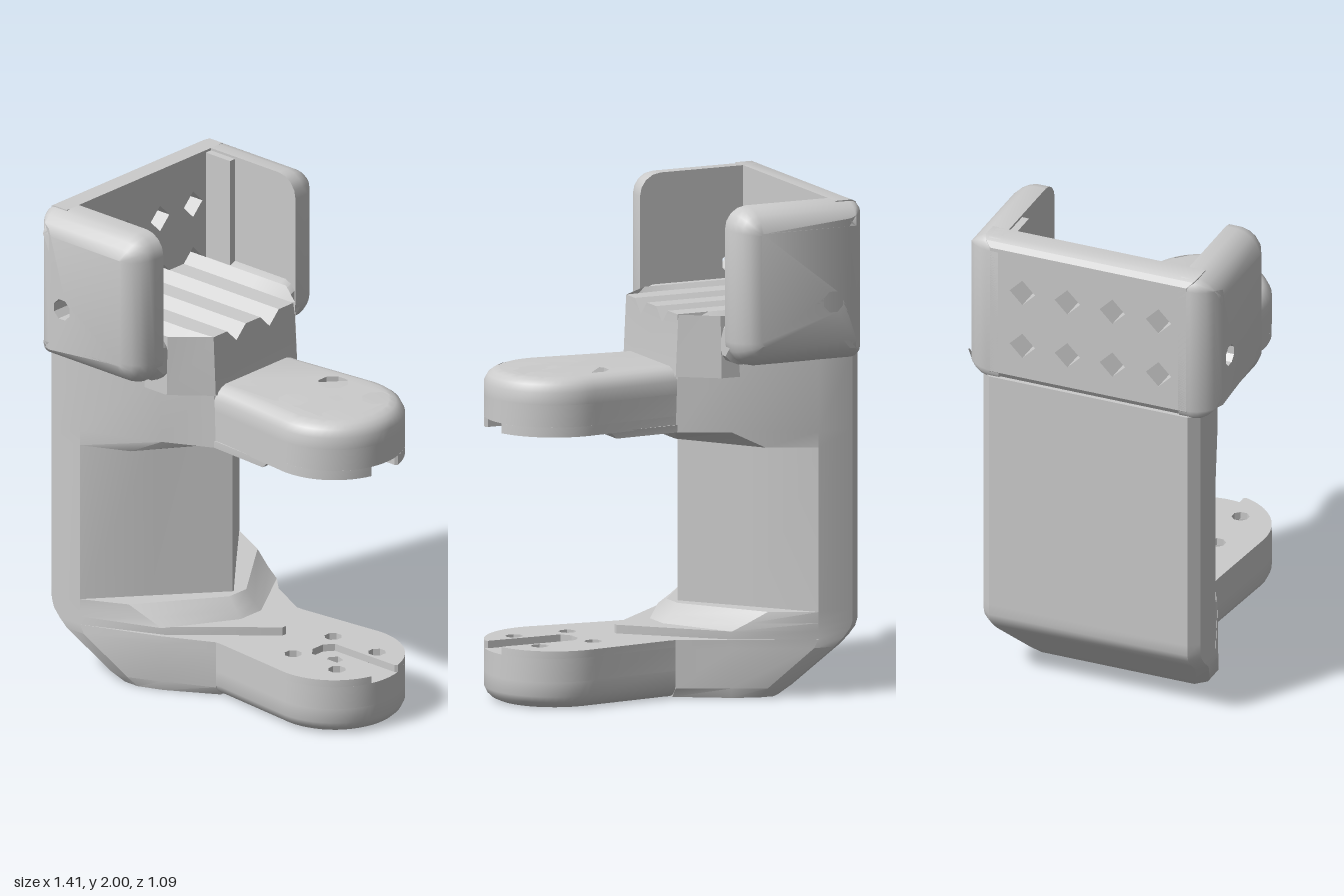
import * as THREE from 'three';
import { toCreasedNormals } from 'three/addons/utils/BufferGeometryUtils.js';

// Mirror half an outline (v > 0, front to back) into a closed loop
const sym = half => [...half, ...half.slice().reverse().map(([u, v]) => [u, -v])];

// Move every corner of a counter-clockwise outline inwards by d
function inset(pts, d) {
  const n = pts.length;
  const normal = (a, b) => {
    const l = Math.hypot(b[0] - a[0], b[1] - a[1]);
    return [-(b[1] - a[1]) / l, (b[0] - a[0]) / l];
  };
  return pts.map((p, i) => {
    const a = normal(pts[(i + n - 1) % n], p), b = normal(p, pts[(i + 1) % n]);
    const k = d / (1 + a[0] * b[0] + a[1] * b[1]);
    return [p[0] + (a[0] + b[0]) * k, p[1] + (a[1] + b[1]) * k];
  });
}

// Solid through a stack of outlines { h, pts }, with straight holes through it
function solid(rings, holes = []) {
  const pos = [];
  const wall = (a, ha, b, hb, flip) => a.forEach((p, i) => {
    const j = (i + 1) % a.length;
    const q = [[...p, ha], [...a[j], ha], [...b[j], hb], [...b[i], hb]];
    (flip ? [0, 2, 1, 0, 3, 2] : [0, 1, 2, 0, 2, 3]).forEach(k => pos.push(...q[k]));
  });
  for (let i = 1; i < rings.length; i++) wall(rings[i - 1].pts, rings[i - 1].h, rings[i].pts, rings[i].h);
  const first = rings[0], last = rings[rings.length - 1];
  holes.forEach(o => wall(o, first.h, o, last.h, true));
  const cap = ({ h, pts }, flip) => {
    const vec = l => l.map(p => new THREE.Vector2(...p));
    const inner = holes.map(o => vec(o).reverse());
    const outer = vec(pts), all = [...outer, ...inner.flat()];
    THREE.ShapeUtils.triangulateShape(outer, inner).forEach(f =>
      (flip ? [f[0], f[2], f[1]] : f).forEach(k => pos.push(all[k].x, all[k].y, h)));
  };
  cap(first, true);
  cap(last, false);
  const g = new THREE.BufferGeometry();
  g.setAttribute('position', new THREE.Float32BufferAttribute(pos, 3));
  return g;
}

// Solid of one outline with an inset per level [h, inset]
const slab = (pts, levels, holes) =>
  solid(levels.map(([h, d]) => ({ h, pts: d ? inset(pts, d) : pts })), holes);

const disc = (u, v, r, n = 8) => Array.from({ length: n }, (_, i) => {
  const a = (i + 0.5) / n * Math.PI * 2;
  return [u + r * Math.cos(a), v + r * Math.sin(a)];
});

// Round hole with a pointed end
const teardrop = (u, v, r) => [...Array.from({ length: 8 }, (_, i) => {
  const a = -Math.PI / 4 + i / 7 * Math.PI * 1.5;
  return [u + r * Math.cos(a), v + r * Math.sin(a)];
}), [u, v - r * 1.5]];

export function createModel() {
  const group = new THREE.Group();
  const material = new THREE.MeshStandardMaterial({ color: 0xcccccc });
  const add = (name, g) => {
    const mesh = new THREE.Mesh(toCreasedNormals(g, 0.5), material);
    mesh.name = name;
    group.add(mesh);
  };
  const flat = g => g.rotateX(-Math.PI / 2);   // plan outlines, stacked in y
  const along = g => g.rotateY(Math.PI / 2);   // outlines of (-z, y), stacked in x

  // Column with V-shaped front: y, back x, half width, side corner x, then two front corners
  const rows = [
    [0, -0.41, 0.37, -0.3, [-0.2, 0.33], [0, 0.21]],
    [0.04, -0.455, 0.4, -0.33, [-0.2, 0.34], [0, 0.24]],
    [0.2, -0.63, 0.47, -0.5, [-0.2, 0.34], [0, 0.24]],
    [0.235, -0.67, 0.47, -0.52, [-0.2, 0.34], [0, 0.24]],
    [0.235, -0.67, 0.47, -0.52, [-0.2, 0.32], [0.15, 0.01]],
    [0.27, -0.7, 0.47, -0.52, [-0.2, 0.32], [0.15, 0.01]],
    [0.27, -0.7, 0.47, -0.52, [-0.2, 0.34], [-0.03, 0.06]],
    [0.3, -0.71, 0.47, -0.52, [-0.26, 0.355], [-0.06, 0.055]],
    [0.345, -0.71, 0.47, -0.52, [-0.34, 0.38], [-0.1, 0.05]],
    [0.345, -0.71, 0.47, -0.52, [-0.33, 0.244], [-0.125, 0.003]],
    [1.01, -0.71, 0.47, -0.52, [-0.33, 0.244], [-0.125, 0.003]],
    [1.01, -0.71, 0.47, -0.52, [-0.33, 0.38], [-0.09, 0.05]],
    [1.075, -0.71, 0.47, -0.52, [-0.2, 0.34], [-0.02, 0.2]],
    [1.075, -0.71, 0.47, -0.52, [-0.2, 0.34], [0, 0.24]],
    [1.38, -0.71, 0.47, -0.52, [-0.21, 0.34], [-0.01, 0.24]],
  ];
  add('column', flat(solid(rows.map(([h, xb, w, xs, b, c]) => ({
    h, pts: sym([c, b, [xs, w], [xb + 0.04, w], [xb, w - 0.04]]),
  })))));

  // Arm outline, plain and with the open slot in its end
  const arc = start => Array.from({ length: 15 }, (_, i) => {
    const a = THREE.MathUtils.degToRad(start + (100 - start) * i / 14);
    return [0.42 + 0.28 * Math.cos(a), 0.28 * Math.sin(a)];
  });
  const neck = [[0.03, 0.24], [-0.1, 0.24]];
  const arm = sym([...arc(4), ...neck]);
  const slotted = sym([[0.33, 0.03], [0.36, 0.068], [0.68, 0.068], ...arc(16), ...neck]);
  const spots = [0.305, 0.54].flatMap(u => [[u, 0.118], [u, -0.118]]);
  const centre = disc(0.42, 0, 0.035, 5);
  const wide = [...spots.map(([u, v]) => disc(u, v, 0.063)), centre];
  const narrow = [...spots.map(([u, v]) => teardrop(u, v, 0.036)), centre];
  const small = spots.map(([u, v]) => disc(u, v, 0.036));

  // Upper arm
  add('upperArmSlotLayer', flat(slab(slotted, [[1.1, 0], [1.14, 0]], small)));
  add('upperArmCore', flat(slab(arm, [[1.14, 0], [1.23, 0]], narrow)));
  add('upperArmTop', flat(slab(arm, [[1.23, 0], [1.28, 0], [1.31, 0.015], [1.325, 0.035], [1.333, 0.06]], wide)));
  add('upperArmUnderside', flat(solid([
    { h: 1.075, pts: sym([[0.27, 0.26], [-0.05, 0.24]]) },
    { h: 1.105, pts: sym([[0.3, 0.265], [-0.05, 0.24]]) },
  ])));

  // Lower arm
  add('lowerArmBottom', flat(slab(arm, [[0, 0.05], [0.01, 0.028], [0.025, 0.012], [0.05, 0], [0.11, 0]], wide)));
  add('lowerArmCore', flat(slab(arm, [[0.11, 0], [0.205, 0]], narrow)));
  add('lowerArmSlotLayer', flat(slab(slotted, [[0.205, 0], [0.235, 0]], small)));

  // Ridged shelf: grooves run forward from the lower row of holes
  const holeZ = [-0.285, -0.09, 0.105, 0.305];
  const top = holeZ.flatMap(z => [[-z + 0.055, 1.55], [-z, 1.495], [-z - 0.055, 1.55]]);
  const shelf = new THREE.ExtrudeGeometry(
    new THREE.Shape([[-0.365, 1.3], [0.35, 1.3], ...top].map(p => new THREE.Vector2(...p))),
    { depth: 0.6, steps: 4, bevelEnabled: false });
  shelf.translate(0, 0, -0.6);
  along(shelf);
  const sp = shelf.attributes.position;
  for (let i = 0; i < sp.count; i++) {
    if (sp.getX(i) > -0.1) {
      sp.setZ(i, THREE.MathUtils.clamp(sp.getZ(i), -0.24, 0.24));
      if (sp.getY(i) > 1.4) sp.setX(i, -0.012);
    }
  }
  add('ridgedShelf', shelf);

  // Head plate with two rows of diamond holes
  const diamonds = [1.55, 1.79].flatMap(y => holeZ.map(z =>
    [[-z + 0.055, y], [-z, y + 0.055], [-z - 0.055, y], [-z, y - 0.055]]));
  add('headPlate', along(slab([[-0.46, 1.37], [0.46, 1.37], [0.46, 2], [-0.46, 2]],
    [[-0.71, 0.035], [-0.695, 0.012], [-0.67, 0], [-0.6, 0]], diamonds)));

  // Cheeks with rounded outer edges and a bulging foot on the inside
  const corner = (x, y, r, a0) => [0, 1, 2, 3, 4].map(i => {
    const a = (a0 + i * 22.5) * Math.PI / 180;
    return [x + r * Math.cos(a), y + r * Math.sin(a)];
  });
  const cheek = [...corner(-0.245, 1.46, 0.1, -90), ...corner(-0.235, 1.91, 0.09, 0),
    ...corner(-0.66, 1.95, 0.05, 90), ...corner(-0.66, 1.41, 0.05, 180)];
  const foot = [[0.31, 1.4], [0.34, 1.36], [0.4, 1.36], [0.46, 1.42], [0.46, 1.55], [0.39, 1.55], [0.34, 1.53], [0.31, 1.47]];
  const levels = [[0.39, 0], [0.44, 0], [0.47, 0.007], [0.5, 0.024], [0.525, 0.048], [0.545, 0.09]];
  for (const [side, s] of [['left', 1], ['right', -1]]) {
    const face = s > 0 ? cheek : cheek.map(([x, y]) => [-x, y]).reverse();
    const g = slab(face, levels, [disc(-0.55 * s, 1.61, 0.045)]);
    if (s < 0) g.rotateY(Math.PI);
    add(side + 'Cheek', g);
    const section = s < 0 ? foot : foot.map(([u, y]) => [-u, y]).reverse();
    add(side + 'CheekFoot', along(slab(section, [[-0.65, 0], [-0.2, 0], [-0.17, 0.012], [-0.15, 0.035]])));
  }

  // Raised strip inside one cheek
  add('cheekStrip', new THREE.BoxGeometry(0.14, 0.45, 0.04).translate(-0.54, 1.765, -0.38));
  return group;
}
